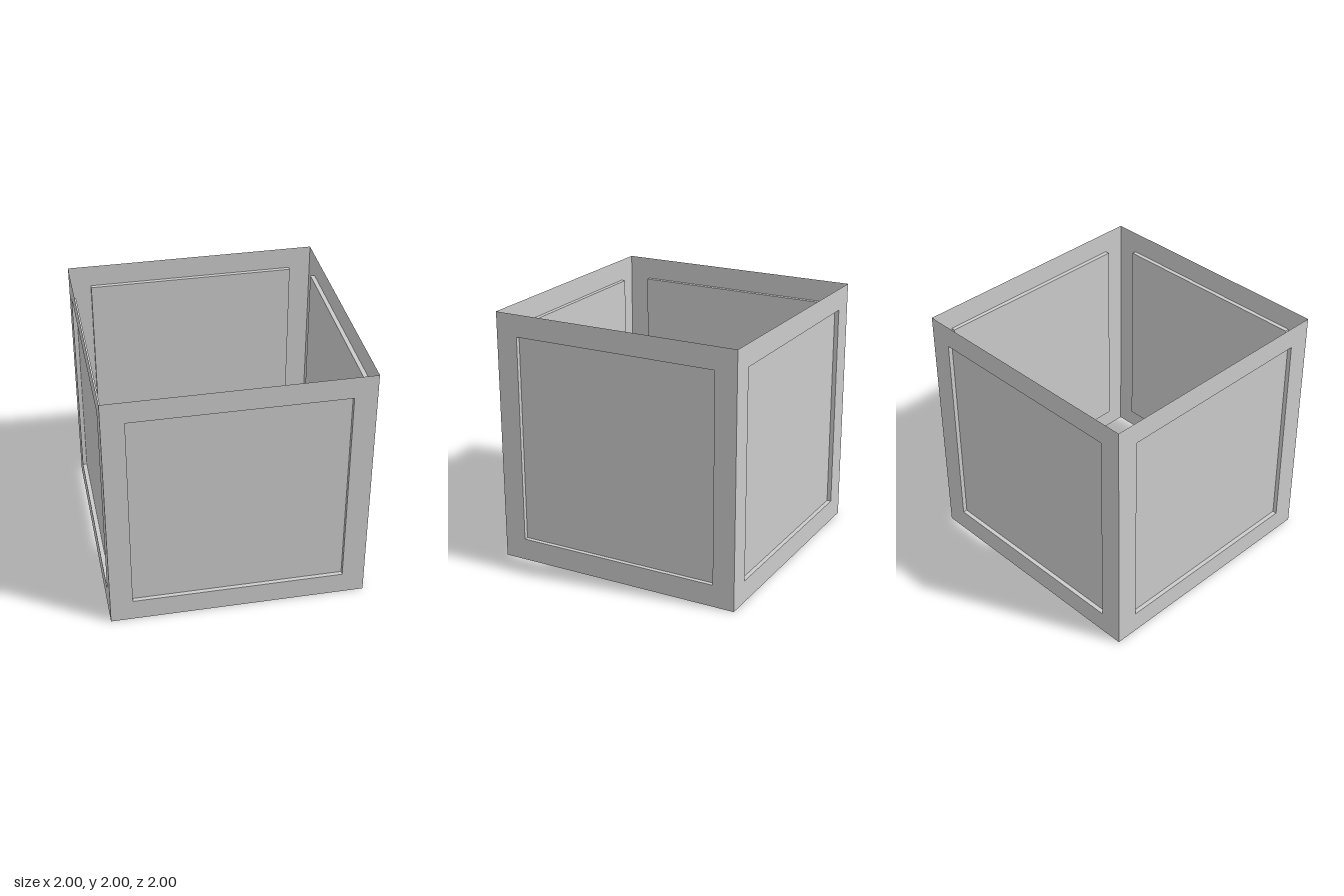
import * as THREE from 'three';

const HALF = 1;        // half width of the box
const INNER = 0.825;   // half width of the recessed panel
const DEPTH = 0.034;   // depth of the recess

const material = new THREE.MeshStandardMaterial({ color: 0xcccccc, side: THREE.DoubleSide });

function part(name, geometry) {
  const mesh = new THREE.Mesh(geometry, material);
  mesh.name = name;
  return mesh;
}

function square(path, h) {
  return path.moveTo(-h, -h).lineTo(h, -h).lineTo(h, h).lineTo(-h, h).closePath();
}

// One thin wall facing +z: flat border, recess sides and recessed panel
function createWall(name) {
  const wall = new THREE.Group();
  wall.name = name;

  const border = square(new THREE.Shape(), HALF);
  border.holes.push(square(new THREE.Path(), INNER));
  wall.add(part('border', new THREE.ShapeGeometry(border).translate(0, 0, HALF)));

  const panel = new THREE.PlaneGeometry(2 * INNER, 2 * INNER);
  wall.add(part('recessedPanel', panel.translate(0, 0, HALF - DEPTH)));

  ['bottom', 'right', 'top', 'left'].forEach((side, i) => {
    const lip = new THREE.PlaneGeometry(2 * INNER, DEPTH)
      .rotateX(-Math.PI / 2)
      .translate(0, -INNER, HALF - DEPTH / 2)
      .rotateZ(i * Math.PI / 2);
    wall.add(part(side + 'RecessSide', lip));
  });
  return wall;
}

export function createModel() {
  const model = new THREE.Group();
  model.name = 'openPanelBox';
  // Four equal walls, open at the top and bottom
  ['frontWall', 'leftWall', 'backWall', 'rightWall'].forEach((name, i) => {
    const wall = createWall(name);
    wall.position.y = HALF;
    wall.rotation.y = i * Math.PI / 2;
    model.add(wall);
  });
  return model;
}
